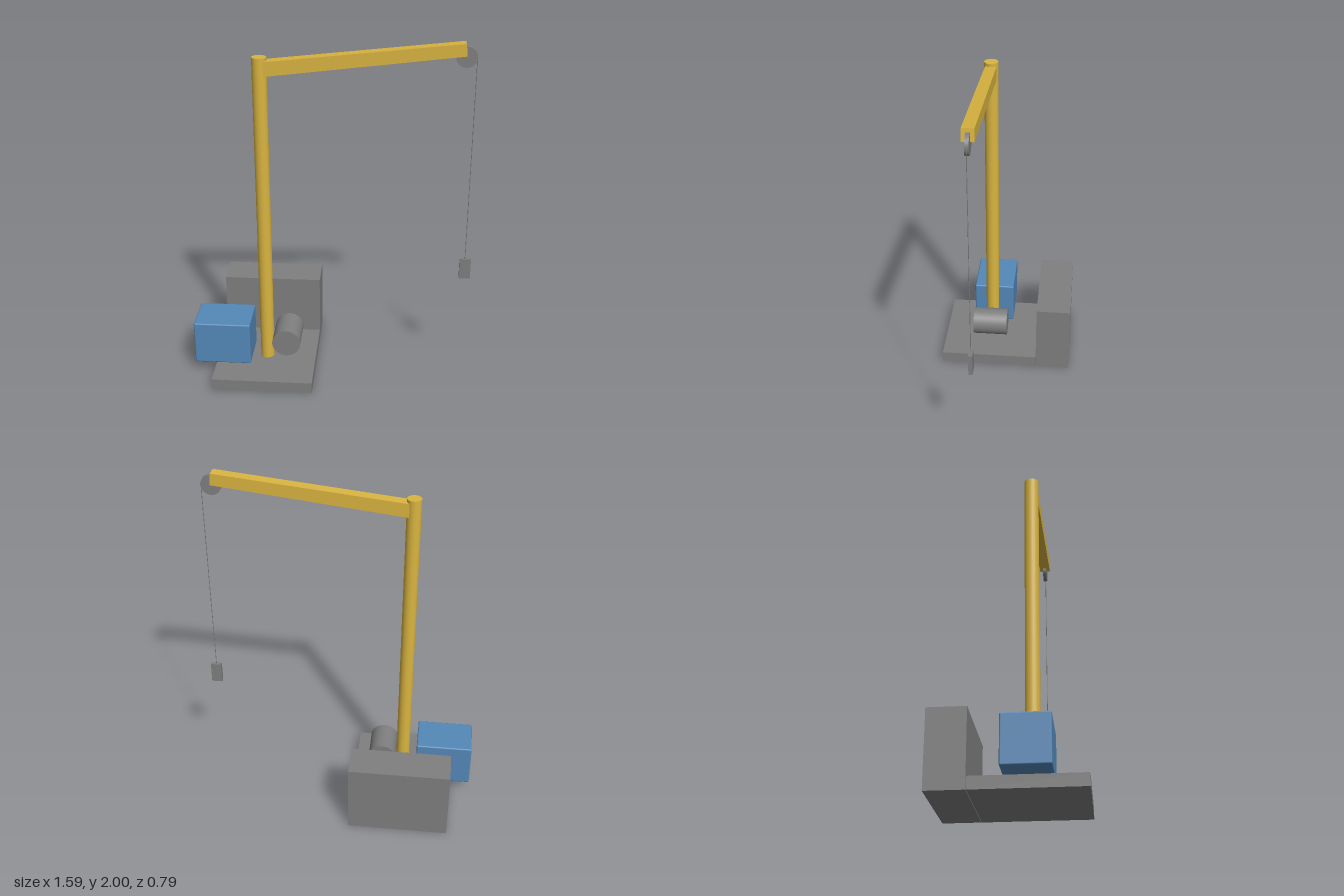
import * as THREE from 'three';
import { RoundedBoxGeometry } from 'three/addons/geometries/RoundedBoxGeometry.js';

const mat = (name, color) => {
  const m = new THREE.MeshStandardMaterial({ color });
  m.name = name;
  return m;
};

export function createModel() {
  const yellow = mat('craneYellow', 0xd9b440);
  const blue = mat('cabBlue', 0x5488b8);
  const grey = mat('steelGrey', 0x7f7f7f);
  const group = new THREE.Group();
  const Z = 0.105; // plane of the mast, boom and hoist

  const add = (name, geometry, material, x, y, z) => {
    const mesh = new THREE.Mesh(geometry, material);
    mesh.name = name;
    mesh.position.set(x, y, z);
    group.add(mesh);
    return mesh;
  };
  // box given by its lower and upper limits on each axis
  const box = (name, material, [x0, x1], [y0, y1], [z0, z1], radius = 0) => {
    const size = [x1 - x0, y1 - y0, z1 - z0];
    const geometry = radius
      ? new RoundedBoxGeometry(...size, 2, radius)
      : new THREE.BoxGeometry(...size);
    return add(name, geometry, material, (x0 + x1) / 2, (y0 + y1) / 2, (z0 + z1) / 2);
  };

  // base and rear counterweight
  box('base', grey, [-0.672, -0.092], [0, 0.067], [-0.188, 0.395]);
  box('counterweight', grey, [-0.672, -0.092], [0, 0.42], [-0.395, -0.19]);

  // operator cab beside the mast
  box('cab', blue, [-0.796, -0.467], [0.073, 0.333], [-0.02, 0.227], 0.008);

  // mast
  add('mast', new THREE.CylinderGeometry(0.04, 0.04, 1.835, 32), yellow, -0.381, 0.067 + 1.835 / 2, Z);

  // boom, slightly tapered towards its raised tip
  const side = new THREE.Shape([
    new THREE.Vector2(-0.357, 1.803),
    new THREE.Vector2(0.704, 1.934),
    new THREE.Vector2(0.696, 2.0),
    new THREE.Vector2(-0.362, 1.882),
  ]);
  const width = 0.064;
  add('boom', new THREE.ExtrudeGeometry(side, { depth: width, bevelEnabled: false }), yellow, 0, 0, Z - width / 2);

  // winch drum and tip pulley, both with axes along z
  const disc = (name, r, depth, x, y) =>
    add(name, new THREE.CylinderGeometry(r, r, depth, 32).rotateX(Math.PI / 2), grey, x, y, Z);
  disc('winchDrum', 0.082, 0.208, -0.258, 0.211);
  disc('pulley', 0.056, 0.022, 0.703, 1.924);

  // hoist cable and hook block
  add('cable', new THREE.CylinderGeometry(0.002, 0.002, 1.17, 8), grey, 0.758, 0.754 + 1.17 / 2, Z);
  box('hookBlock', grey, [0.728, 0.791], [0.632, 0.755], [Z - 0.011, Z + 0.011]);

  return group;
}
